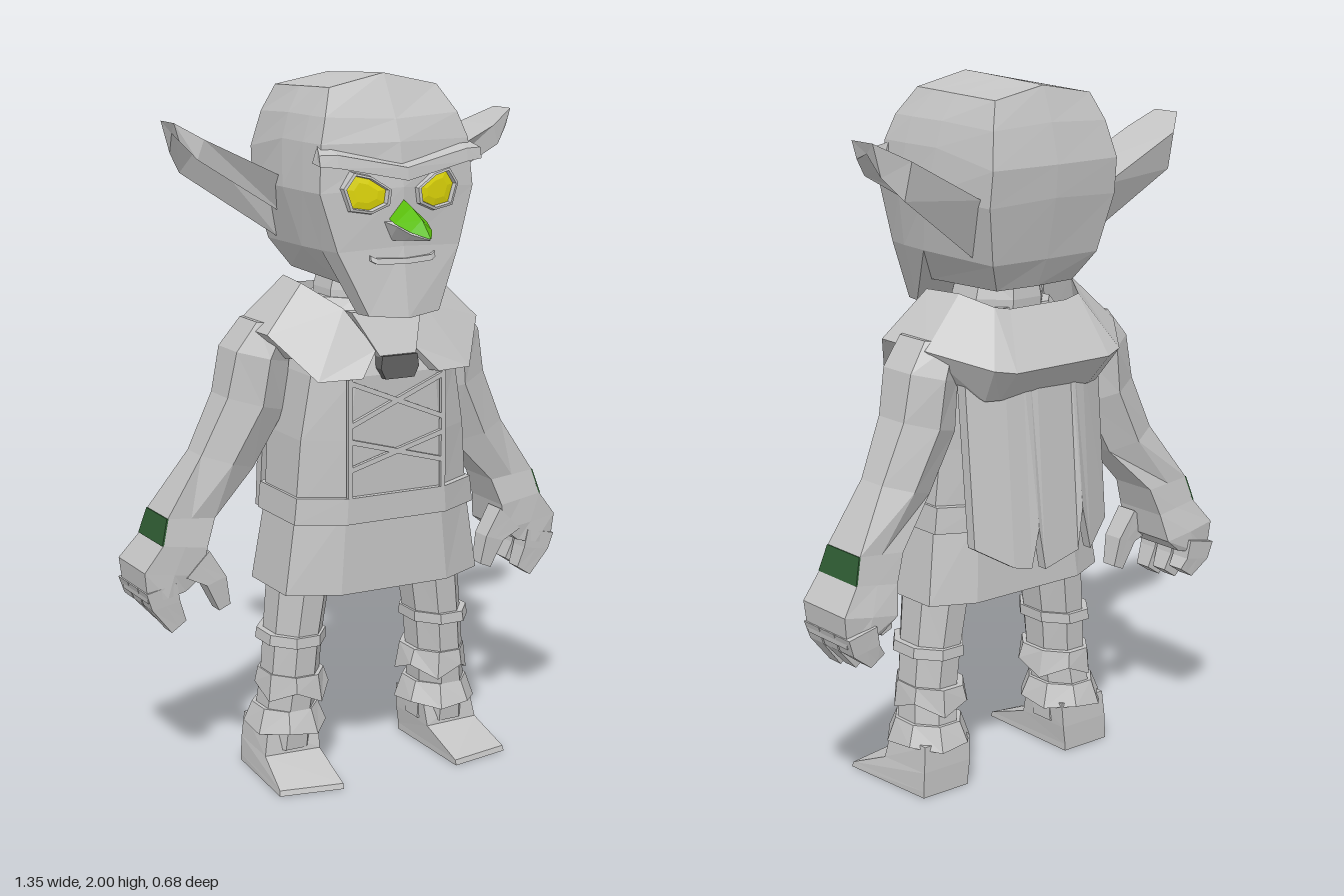
import * as THREE from 'three';

const mat = (name, color) => Object.assign(new THREE.MeshStandardMaterial({ color }), { name });

// Flat-shaded solid skinned through a list of closed rings; faces are turned outward by signed volume.
function loft(rings) {
  const n = rings[0].length, tris = [];
  for (let r = 0; r + 1 < rings.length; r++) {
    for (let i = 0; i < n; i++) {
      const j = (i + 1) % n, a = rings[r], b = rings[r + 1];
      tris.push([a[i], a[j], b[j]], [a[i], b[j], b[i]]);
    }
  }
  const mid = ring => [0, 1, 2].map(k => ring.reduce((s, p) => s + p[k], 0) / n);
  const first = rings[0], last = rings[rings.length - 1], c0 = mid(first), c1 = mid(last);
  for (let i = 0; i < n; i++) {
    const j = (i + 1) % n;
    tris.push([c0, first[j], first[i]], [c1, last[i], last[j]]);
  }
  const o = new THREE.Vector3(...c0);
  const v = p => new THREE.Vector3(...p).sub(o);
  const volume = tris.reduce((s, [a, b, c]) => s + v(a).dot(v(b).cross(v(c))), 0);
  if (volume < 0) tris.forEach(t => t.reverse());
  const g = new THREE.BufferGeometry();
  g.setAttribute('position', new THREE.Float32BufferAttribute(tris.flat(2), 3));
  g.computeVertexNormals();
  return g;
}

// Completes a half ring that starts and ends on the centre plane.
const mirrorRing = half => [...half, ...half.slice(1, -1).reverse().map(([x, y, z]) => [-x, y, z])];

// Horizontal chamfered rectangle for the body.
function bodyRing(y, w, zf, zb) {
  const h = [[w * .55, y, zf], [w, y, zf - .07], [w, y, zb + .06], [w * .6, y, zb]];
  return [...h, ...h.slice().reverse().map(([x, yy, z]) => [-x, yy, z])];
}

// Eight-sided horizontal ring, with optional ragged height.
function oval(x, y, z, rx, rz, rag = 0) {
  return Array.from({ length: 8 }, (_, i) => {
    const a = (i + .5) * Math.PI / 4;
    return [x + rx * 1.08 * Math.cos(a), y + (i % 2 ? rag : 0), z + rz * 1.08 * Math.sin(a)];
  });
}

// Six-sided limb section from its outer and inner points, k sets how square it is.
function limb(xo, yo, xi, yi, z, h, k = .55) {
  const xm = (xo + xi) / 2, ym = (yo + yi) / 2;
  return [[xo, yo, z + h * k], [xm, ym, z + h], [xi, yi, z + h * k],
    [xi, yi, z - h * k], [xm, ym, z - h], [xo, yo, z - h * k]];
}

// Eye outline grown by a scale and lifted off the sloping face.
const eyeRing = (s, lift) => [[.167, 1.7], [.142, 1.735], [.1, 1.725], [.053, 1.695], [.058, 1.66], [.1, 1.642], [.15, 1.65]]
  .map(([x, y]) => [.112 + (x - .112) * s, 1.69 + (y - 1.69) * s, .196 - .15 * (.112 + (x - .112) * s) + lift]);

export function createModel() {
  const model = new THREE.Group();
  model.name = 'goblin';
  const grey = mat('grey', 0xc4c4c4), dark = mat('darkGrey', 0x626262);
  const yellow = mat('yellow', 0xe0d808), green = mat('green', 0x5cc20c), deep = mat('deepGreen', 0x2f5c33);

  const add = (name, geometry, material = grey) => {
    const m = new THREE.Mesh(geometry, material);
    m.name = name;
    model.add(m);
    return m;
  };
  // Builds a lofted part on both sides.
  const pair = (name, rings, material) => {
    for (const s of [1, -1]) {
      add((s > 0 ? 'left' : 'right') + name, loft(rings.map(r => r.map(([x, y, z]) => [x * s, y, z]))), material);
    }
  };

  // Head
  add('head', loft([
    [[0, 1.345, .225], [.11, 1.355, .2], [.12, 1.355, .15], [.13, 1.43, .07], [.135, 1.44, -.22], [0, 1.44, -.23]],
    [[0, 1.54, .195], [.19, 1.53, .17], [.203, 1.53, .1], [.212, 1.53, 0], [.185, 1.52, -.265], [0, 1.52, -.27]],
    [[0, 1.7, .195], [.238, 1.69, .16], [.244, 1.69, .07], [.245, 1.69, -.05], [.22, 1.68, -.295], [0, 1.69, -.305]],
    [[0, 1.82, .175], [.228, 1.82, .15], [.232, 1.82, .05], [.23, 1.82, -.08], [.218, 1.78, -.305], [0, 1.78, -.312]],
    [[0, 1.88, .15], [.205, 1.89, .13], [.21, 1.89, .05], [.21, 1.89, -.08], [.197, 1.88, -.28], [0, 1.89, -.285]],
    [[0, 2, .08], [.167, 1.965, .08], [.168, 1.963, 0], [.168, 1.96, -.09], [.166, 1.955, -.25], [0, 1.985, -.25]],
    [[0, 2, .08], [0, 2, .08], [0, 1.997, 0], [0, 1.993, -.09], [0, 1.985, -.25], [0, 1.985, -.25]],
  ].map(mirrorRing)));

  // Ears: long blades, hollow underneath
  pair('Ear', [
    [[.22, 1.71, -.085], [.22, 1.7, -.26], [.19, 1.53, -.19], [.22, 1.655, -.17], [.195, 1.6, -.14]],
    [[.46, 1.825, -.09], [.46, 1.825, -.275], [.465, 1.72, -.25], [.43, 1.805, -.18], [.478, 1.77, -.095]],
    [[.535, 1.87, -.12], [.535, 1.87, -.21], [.51, 1.78, -.21], [.51, 1.85, -.17], [.52, 1.82, -.12]],
  ]);

  // Brows and eyes set in shallow sockets
  pair('Brow', [
    [[0, 1.765, .17], [0, 1.755, .218], [0, 1.72, .222], [0, 1.72, .17]],
    [[.2, 1.815, .13], [.2, 1.795, .19], [.2, 1.76, .197], [.2, 1.76, .13]],
    [[.23, 1.815, .13], [.25, 1.795, .18], [.25, 1.765, .187], [.245, 1.77, .13]],
  ]);
  pair('EyeSocket', [eyeRing(1.35, -.03), eyeRing(1.2, .014), eyeRing(1.05, .016), eyeRing(1, -.001)]);
  pair('Eye', [eyeRing(1.01, -.004), eyeRing(1, .001), eyeRing(.6, .005)], yellow);

  // Nose and mouth
  add('nose', loft([
    [[0, 1.67, .185], [.042, 1.615, .19], [0, 1.605, .19], [-.042, 1.615, .19]],
    [[0, 1.65, .24], [.05, 1.607, .235], [0, 1.597, .24], [-.05, 1.607, .235]],
    [[0, 1.622, .295], [.034, 1.59, .29], [0, 1.585, .29], [-.034, 1.59, .29]],
    [[0, 1.578, .34], [.004, 1.576, .338], [0, 1.575, .336], [-.004, 1.576, .338]],
  ]), green);
  add('noseUnderside', loft([
    [[.058, 1.61, .18], [.035, 1.555, .18], [-.035, 1.555, .18], [-.058, 1.61, .18]],
    [[.046, 1.6, .24], [.02, 1.562, .24], [-.02, 1.562, .24], [-.046, 1.6, .24]],
    [[.03, 1.583, .29], [.012, 1.566, .29], [-.012, 1.566, .29], [-.03, 1.583, .29]],
    [[.003, 1.573, .335], [.002, 1.57, .333], [-.002, 1.57, .333], [-.003, 1.573, .335]],
  ]));
  pair('Mouth', [[0, 1.5, .2], [.085, 1.504, .193], [.1, 1.512, .185]].map(([x, y, z]) =>
    [[x, y + .007, z + .006], [x, y - .008, z + .01], [x, y - .008, z - .03], [x, y + .007, z - .03]]));

  // Neck, pelvis, hollow-hemmed tunic and belt
  add('neck', loft([oval(0, 1.28, -.05, .13, .13), oval(0, 1.4, -.06, .12, .13), oval(0, 1.47, -.06, .1, .12)]));
  add('pelvis', loft([bodyRing(.58, .16, .05, -.13), bodyRing(.78, .24, .1, -.15)]));
  add('tunic', loft([
    bodyRing(.75, .25, .12, -.16), bodyRing(.56, .295, .135, -.185),
    bodyRing(.56, .31, .15, -.2), bodyRing(.8, .275, .145, -.18), bodyRing(1, .26, .15, -.19),
    bodyRing(1.18, .23, .155, -.21), bodyRing(1.3, .19, .11, -.21), bodyRing(1.38, .14, .05, -.18)]));
  add('belt', loft([bodyRing(.765, .288, .163, -.2), bodyRing(.84, .28, .163, -.2)]));
  add('chest', loft([
    [[-.055, 1.23, .1], [.055, 1.23, .1], [.055, 1.23, .168], [-.055, 1.23, .168]],
    [[-.11, 1.35, .03], [.11, 1.35, .03], [.11, 1.35, .1], [-.11, 1.35, .1]]]));
  add('pendant', loft([.12, .178].map(z =>
    [[-.045, 1.17, z], [.045, 1.17, z], [.06, 1.2, z], [.055, 1.235, z], [-.055, 1.235, z], [-.06, 1.2, z]])), dark);

  // Lacing on the chest
  const cord = (x1, y1, x2, y2) => {
    const c = add('lacing', new THREE.BoxGeometry(Math.hypot(x2 - x1, y2 - y1), .014, .012));
    c.position.set((x1 + x2) / 2, (y1 + y2) / 2, .159);
    c.rotation.z = Math.atan2(y2 - y1, x2 - x1);
  };
  for (const [low, high] of [[1.045, 1.165], [.92, 1]]) {
    cord(-.145, low, .145, high);
    cord(-.145, high, .145, low);
  }
  for (const s of [1, -1]) cord(s * .148, .84, s * .148, 1.18);

  // Shoulder mantle: top edge, outer edge and underside, swept from front to back
  pair('Mantle', [
    [[.06, 1.25, .15], [.12, 1.18, .185], [.09, 1.18, .12]],
    [[.125, 1.36, .08], [.24, 1.175, .15], [.18, 1.18, .1]],
    [[.21, 1.425, -.01], [.335, 1.295, .03], [.25, 1.22, .02]],
    [[.2, 1.43, -.14], [.34, 1.295, -.17], [.25, 1.2, -.13]],
    [[.15, 1.4, -.23], [.225, 1.25, -.32], [.2, 1.15, -.25]],
    [[.1, 1.39, -.235], [.165, 1.24, -.343], [.16, 1.15, -.265]],
    [[0, 1.39, -.235], [0, 1.24, -.343], [0, 1.15, -.265]],
  ]);

  // Ragged cape, column by column: x, hem height, depth offset
  add('cape', loft([
    [-.24, .74, .06], [-.14, .68, .01], [-.1, .81, 0], [-.085, .69, 0],
    [.04, .66, -.005], [.06, .78, 0], [.085, .67, 0], [.14, .68, .01], [.24, .74, .06],
  ].map(([x, y, f]) => [[x, 1.24, -.27 + f], [x, 1.24, -.235 + f], [x, y, -.285 + f], [x, y, -.315 + f]])));

  // Arms, wrist patches and hands
  pair('Arm', [
    limb(.33, 1.32, .2, 1.31, -.1, .1), limb(.39, 1.24, .23, 1.2, -.11, .11), limb(.415, 1.11, .24, 1.06, -.115, .1),
    limb(.49, .95, .33, .9, -.125, .085), limb(.598, .785, .455, .77, -.143, .073, 1), limb(.619, .712, .485, .69, -.143, .086, 1)]);
  pair('WristPatch', [1, -1].map(s => [[.601, .785, -.143 + s * .073], [.622, .712, -.143 + s * .086],
    [.617, .712, -.143 + s * .086], [.596, .785, -.143 + s * .073]]), deep);
  pair('Palm', [
    limb(.619, .712, .485, .69, -.143, .086, 1), limb(.675, .64, .5, .61, -.155, .1, .95), limb(.665, .55, .55, .57, -.155, .1, .9)]);
  [[-.09, .455], [-.16, .465], [-.23, .485]].forEach(([z, y], i) => pair('Finger' + (i + 1), [
    limb(.672, .58, .58, .6, z, .034, 1), limb(.655, .53, .57, .545, z, .031, 1), limb(.595, y, .55, y + .03, z, .025, 1)]));
  pair('Thumb', [
    limb(.55, .61, .48, .68, -.09, .035, 1), limb(.49, .58, .43, .6, -.085, .032, 1), limb(.45, .5, .415, .515, -.085, .024, 1)]);

  // Legs with bands and ragged wraps
  pair('Leg', [
    oval(.255, .08, -.06, .08, .09), oval(.25, .2, -.05, .075, .095), oval(.24, .3, -.04, .075, .095),
    oval(.23, .42, -.04, .075, .1), oval(.21, .58, -.04, .08, .11), oval(.16, .76, -.03, .08, .11)]);
  pair('KneeBand', [oval(.237, .395, -.04, .09, .115), oval(.235, .425, -.04, .088, .112)]);
  pair('ShinWrap', [oval(.232, .225, -.045, .096, .115, .035), oval(.235, .305, -.045, .084, .108)]);
  pair('AnkleCuff', [oval(.25, .13, -.055, .108, .125, .012), oval(.25, .2, -.055, .086, .1)]);

  // Feet: sole, toe line, ankle
  pair('Foot', [
    [[.185, 0, .19], [.37, 0, .155], [.345, 0, -.155], [.185, 0, -.155]],
    [[.185, .015, .185], [.368, .015, .15], [.345, .02, -.155], [.185, .02, -.155]],
    [[.18, .07, .03], [.35, .07, .02], [.342, .075, -.155], [.178, .075, -.155]],
    [[.175, .15, .01], [.335, .15, .01], [.335, .15, -.15], [.175, .15, -.15]]]);

  return model;
}
